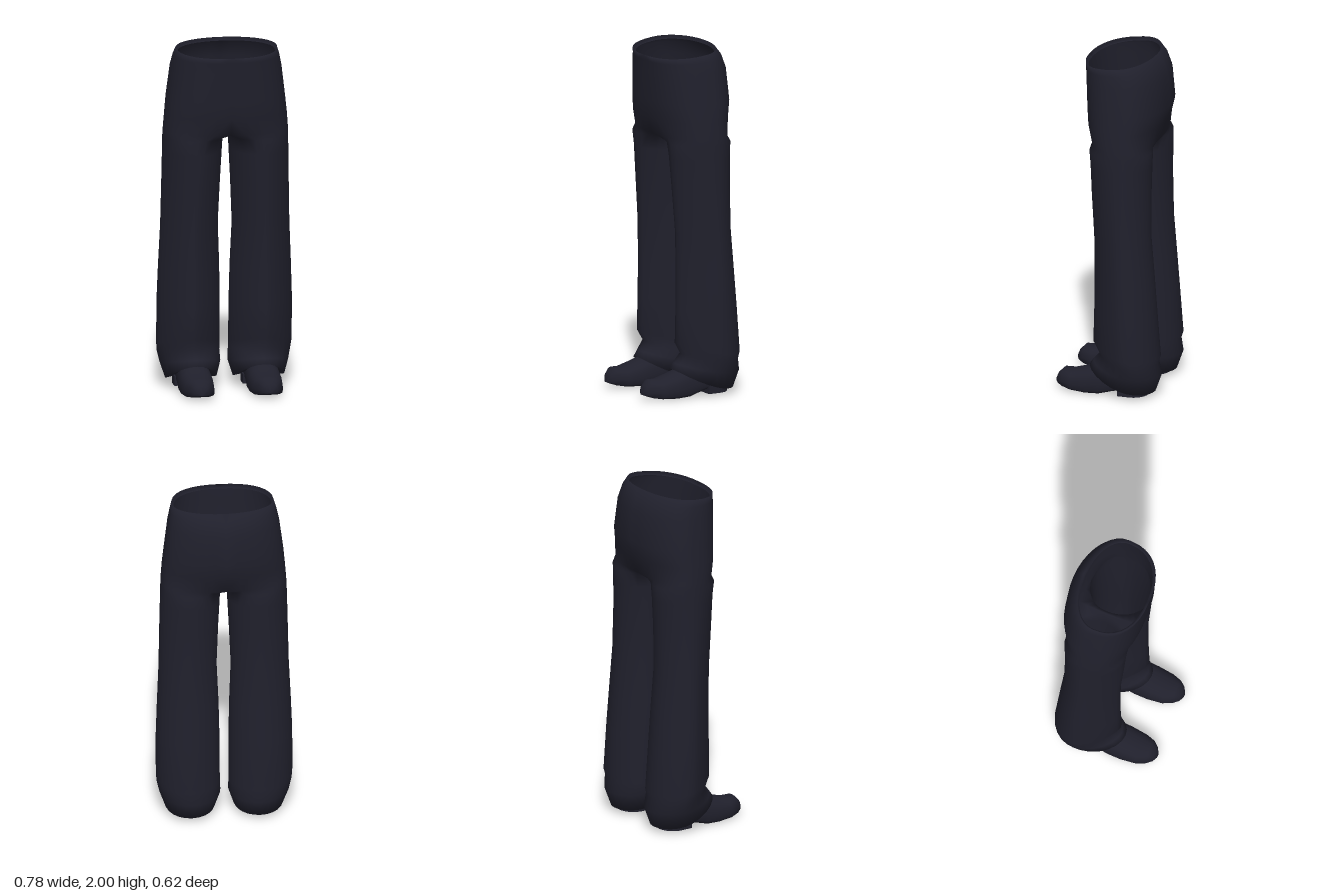
import * as THREE from 'three';
import { mergeVertices, mergeGeometries, toCreasedNormals } from 'three/addons/utils/BufferGeometryUtils.js';

const OUTER = 18, INNER = 8; // columns round the outside and the inseam

const pow = (v, p) => Math.sign(v) * Math.abs(v) ** p;

// Joins rows of [x, y, z] points into a skin
function loft(rows, closed, mirror = false) {
  const n = rows[0].length, pos = [], index = [];
  for (const row of rows) for (const [x, y, z] of row) pos.push(mirror ? -x : x, y, z);
  for (let r = 0; r < rows.length - 1; r++) {
    for (let k = 0; k < (closed ? n : n - 1); k++) {
      const k2 = (k + 1) % n;
      const a = r * n + k, b = a + n, c = (r + 1) * n + k2, d = r * n + k2;
      if (mirror) index.push(a, c, b, a, d, c);
      else index.push(a, b, c, a, c, d);
    }
  }
  const g = new THREE.BufferGeometry();
  g.setAttribute('position', new THREE.Float32BufferAttribute(pos, 3));
  g.setIndex(index);
  return g;
}

// One point of a rounded section; the height slants from back to front
function sectionPoint(angle, cx, hw, [yf, yb, , , zf, zb, pf, pb], bend) {
  const zw = zb + (zf - zb) * 0.43, sin = Math.sin(angle);
  const p = sin > 0 ? pf : pb;
  const z = zw + pow(sin, p) * (sin > 0 ? zf - zw : zw - zb);
  const f = Math.max(0, (z - zb) / (zf - zb));
  return [cx + hw * pow(Math.cos(angle), p), yb + (yf - yb) * f ** bend, z];
}

// Hips: front height, back height, inner x, outer x, front z, back z,
// then squareness of the front and back (under 1 is squarer)
const HIPS = [
  [1.94, 1.98, 0, 0.277, 0.162, -0.215, 0.88, 0.95],
  [1.96, 2.0, 0, 0.29, 0.178, -0.225, 0.86, 0.95],
  [1.93, 1.955, 0, 0.303, 0.175, -0.262, 0.85, 0.98],
  [1.87, 1.88, 0, 0.318, 0.17, -0.29, 0.83, 1],
  [1.7, 1.7, 0, 0.34, 0.16, -0.302, 0.82, 0.98],
  [1.6, 1.6, 0, 0.35, 0.15, -0.272, 0.82, 0.88],
  [1.5, 1.5, 0, 0.358, 0.122, -0.252, 0.8, 0.8],
];
// Legs, down to the slanted hem and the lining that meets the shoe
const LEGS = [
  [1.465, 1.465, 0.018, 0.36, 0.112, -0.25, 0.95, 0.95],
  [1.38, 1.38, 0.021, 0.363, 0.107, -0.249, 1.08, 1.03],
  [1.2, 1.2, 0.03, 0.367, 0.1, -0.247, 1.2, 1.08],
  [0.95, 0.95, 0.04, 0.372, 0.085, -0.25, 1.3, 1.1],
  [0.7, 0.7, 0.03, 0.383, 0.083, -0.27, 1.35, 1.1],
  [0.5, 0.5, 0.026, 0.39, 0.085, -0.285, 1.35, 1.08],
  [0.31, 0.24, 0.025, 0.39, 0.09, -0.305, 1.35, 1.05],
  [0.24, 0.2, 0.025, 0.385, 0.045, -0.292, 1.2, 1.05],
  [0.19, 0.13, 0.022, 0.37, 0.09, -0.31, 1.15, 1.05],
  [0.16, 0.03, 0.05, 0.34, 0.112, -0.275, 1, 1],
  [0.16, 0.06, 0.112, 0.282, 0.085, -0.215, 0.9, 0.9],
];

function trouserHalf(mirror) {
  const hips = HIPS.map((r) => {
    const row = [];
    for (let k = 0; k <= OUTER; k++) {
      const p = sectionPoint(Math.PI * (0.5 - k / OUTER), 0, r[3], r, 1);
      if (k === 0 || k === OUTER) p[0] = 0;
      row.push(p);
    }
    return row;
  });
  // Crotch: the last hip row closed by an arch along the middle
  const last = hips[hips.length - 1], crotch = [...last];
  for (let k = 1; k < INNER; k++) {
    const t = k / INNER;
    crotch.push([0, 1.5 - 0.02 * Math.sin(Math.PI * t),
      THREE.MathUtils.lerp(last[OUTER][2], last[0][2], t)]);
  }
  const legs = LEGS.map((r) => {
    const row = [], cx = (r[2] + r[3]) / 2, hw = (r[3] - r[2]) / 2;
    for (let k = 0; k < OUTER + INNER; k++) {
      const turn = k <= OUTER ? 0.75 - 1.5 * k / OUTER : -0.75 - 0.5 * (k - OUTER) / INNER;
      row.push(sectionPoint(Math.PI * turn, cx, hw, r, 2));
    }
    return row;
  });
  return [loft(hips, false, mirror), loft([crotch, ...legs], true, mirror)];
}

// Shoe sections from toe to heel: z, half width, bottom, top
const SHOE = [
  [0.311, 0.012, 0.033, 0.05],
  [0.295, 0.042, 0.026, 0.085],
  [0.265, 0.066, 0.016, 0.115],
  [0.21, 0.087, 0.006, 0.113],
  [0.12, 0.096, 0, 0.138],
  [0.04, 0.096, 0.003, 0.165],
  [-0.04, 0.09, 0.025, 0.17],
  [-0.12, 0.088, 0.045, 0.17],
  [-0.2, 0.08, 0.048, 0.16],
  [-0.24, 0.05, 0.05, 0.14],
];

function shoeGeometry() {
  const n = 20;
  const rows = SHOE.map(([z, w, yb, yt]) => Array.from({ length: n }, (_, i) => {
    const a = i / n * Math.PI * 2, s = Math.sin(a);
    const base = yb + (yt - yb) * 0.35; // widest a little above the sole
    return [w * pow(Math.cos(a), s < 0 ? 0.3 : 0.8),
      base + (s < 0 ? (base - yb) * pow(s, 0.4) : (yt - base) * pow(s, 0.8)), z];
  }));
  const cap = ([z, , yb, yt]) => Array.from({ length: n }, () => [0, (yb + yt) / 2, z]);
  return toCreasedNormals(loft([cap(SHOE[0]), ...rows, cap(SHOE[SHOE.length - 1])], true), 0.9);
}

// Heel block with a rounded back
function heelGeometry() {
  const s = new THREE.Shape();
  s.moveTo(-0.097, -0.08);
  s.lineTo(-0.097, -0.15);
  s.absellipse(0, -0.15, 0.097, 0.09, Math.PI, Math.PI * 2, false);
  s.lineTo(0.097, -0.08);
  s.closePath();
  const g = new THREE.ExtrudeGeometry(s, { depth: 0.055, bevelEnabled: false, curveSegments: 10 });
  return g.rotateX(Math.PI / 2).translate(0, 0.065, 0);
}

export function createModel() {
  const model = new THREE.Group();
  const cloth = new THREE.MeshStandardMaterial({ color: 0x20202c, side: THREE.DoubleSide });
  cloth.name = 'dark navy';

  const add = (parent, name, geometry) => {
    const mesh = new THREE.Mesh(geometry, cloth);
    mesh.name = name;
    parent.add(mesh);
  };

  // Trousers: two mirrored halves welded along the middle
  const skin = mergeVertices(mergeGeometries([...trouserHalf(false), ...trouserHalf(true)]), 1e-4);
  skin.computeVertexNormals();
  add(model, 'trousers', skin);

  // Shoes
  const upper = shoeGeometry(), heel = heelGeometry();
  for (const [side, x] of [['left', 0.197], ['right', -0.197]]) {
    const shoe = new THREE.Group();
    shoe.name = side + 'Shoe';
    add(shoe, side + 'ShoeUpper', upper);
    add(shoe, side + 'ShoeHeel', heel);
    shoe.position.x = x;
    model.add(shoe);
  }
  return model;
}
